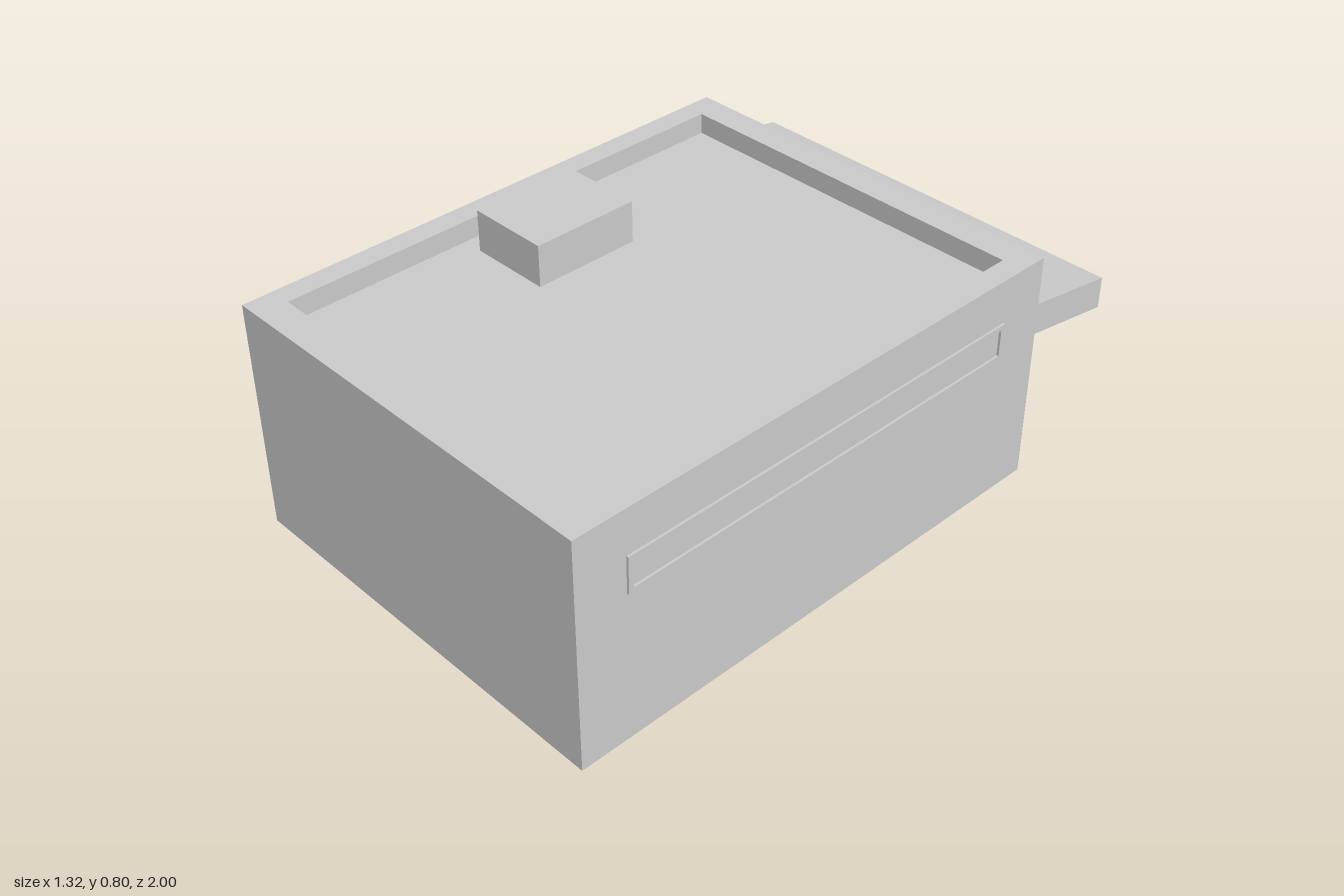
import * as THREE from 'three';

const material = new THREE.MeshStandardMaterial({
  color: 0xcccccc, flatShading: true, side: THREE.DoubleSide,
});

// Surface running through a series of rectangles [u0, u1, v0, v1, height],
// each joined to the next; the last one is closed when capped.
function relief(name, rects, capped = true) {
  const loops = rects.map(([u0, u1, v0, v1, w]) => [
    new THREE.Vector3(u0, v0, w), new THREE.Vector3(u1, v0, w),
    new THREE.Vector3(u1, v1, w), new THREE.Vector3(u0, v1, w),
  ]);
  const points = [];
  const triangle = (a, b, c) => {
    if (new THREE.Triangle(a, b, c).getArea() > 1e-7) points.push(a, b, c);
  };
  const quad = (a, b, c, d) => { triangle(a, b, c); triangle(a, c, d); };
  for (let k = 0; k < loops.length - 1; k++) {
    const a = loops[k], b = loops[k + 1];
    for (let i = 0; i < 4; i++) {
      const j = (i + 1) % 4;
      quad(a[i], a[j], b[j], b[i]);
    }
  }
  if (capped) quad(...loops[loops.length - 1]);
  const geometry = new THREE.BufferGeometry().setFromPoints(points);
  geometry.computeVertexNormals();
  const mesh = new THREE.Mesh(geometry, material);
  mesh.name = name;
  return mesh;
}

function side(name, parts) {
  const group = new THREE.Group();
  group.name = name;
  group.add(...parts);
  return group;
}

export function createModel() {
  const W = 0.655, H = 0.73, FRONT = 1, BACK = 0.695;
  const LIP = 0.007, TRIM = 0.015; // frame projection and width
  const model = new THREE.Group();
  model.name = 'building';

  // Plain front wall
  const front = side('front', [relief('frontWall', [[-W, W, 0, H, 0]])]);
  front.position.z = FRONT;
  model.add(front);

  // Side walls, each with one long framed strip window
  for (const s of [1, -1]) {
    const span = (z0, z1) => (s > 0 ? [-z1, -z0] : [z0, z1]);
    const opening = [...span(-0.54, 0.84), 0.475, 0.59];
    const pane = [...span(-0.54 + TRIM, 0.84 - TRIM), 0.475 + TRIM, 0.59 - TRIM];
    const wall = side(s > 0 ? 'leftSide' : 'rightSide', [
      relief('sideWall', [[...span(-BACK, FRONT), 0, H, 0], [...opening, 0]], false),
      relief('stripWindow', [[...opening, 0], [...opening, LIP], [...pane, LIP], [...pane, 0]]),
    ]);
    wall.rotation.y = s * Math.PI / 2;
    wall.position.x = s * W;
    model.add(wall);
  }

  // Back wall with a framed door below and a sloping canopy above
  const split = 0.4;
  const door = [-0.1, 0.1, 0, 0.33];
  const leaf = [-0.1 + TRIM, 0.1 - TRIM, 0, 0.33 - TRIM];
  const back = side('back', [
    relief('lowerBackWall', [[-W, W, 0, split, 0], [...door, 0]], false),
    relief('door', [[...door, 0], [...door, LIP], [...leaf, LIP], [...leaf, 0]]),
    relief('upperBackWall', [[-W, W, split, H, 0], [-W, W, 0.48, 0.58, 0]], false),
    relief('canopy', [[-W, W, 0.48, 0.58, 0], [-W, W, 0.43, 0.53, 1 - BACK]]),
  ]);
  back.rotation.y = Math.PI;
  back.position.z = -BACK;
  model.add(back);

  // Flat roof sunk behind a parapet, with a small hollow roof box
  const well = [-0.585, 0.585, -0.905, 0.605];
  const box = [-0.52, -0.26, -0.32, 0.02];
  const deck = 0.665;
  const roof = side('roof', [
    relief('parapet', [[-W, W, -FRONT, BACK, H], [...well, H], [...well, deck]], false),
    relief('roofDeck', [[...well, deck], [...box, deck]], false),
    relief('roofBox', [[...box, deck], [...box, 0.795]]),
  ]);
  roof.rotation.x = -Math.PI / 2;
  model.add(roof);

  return model;
}
